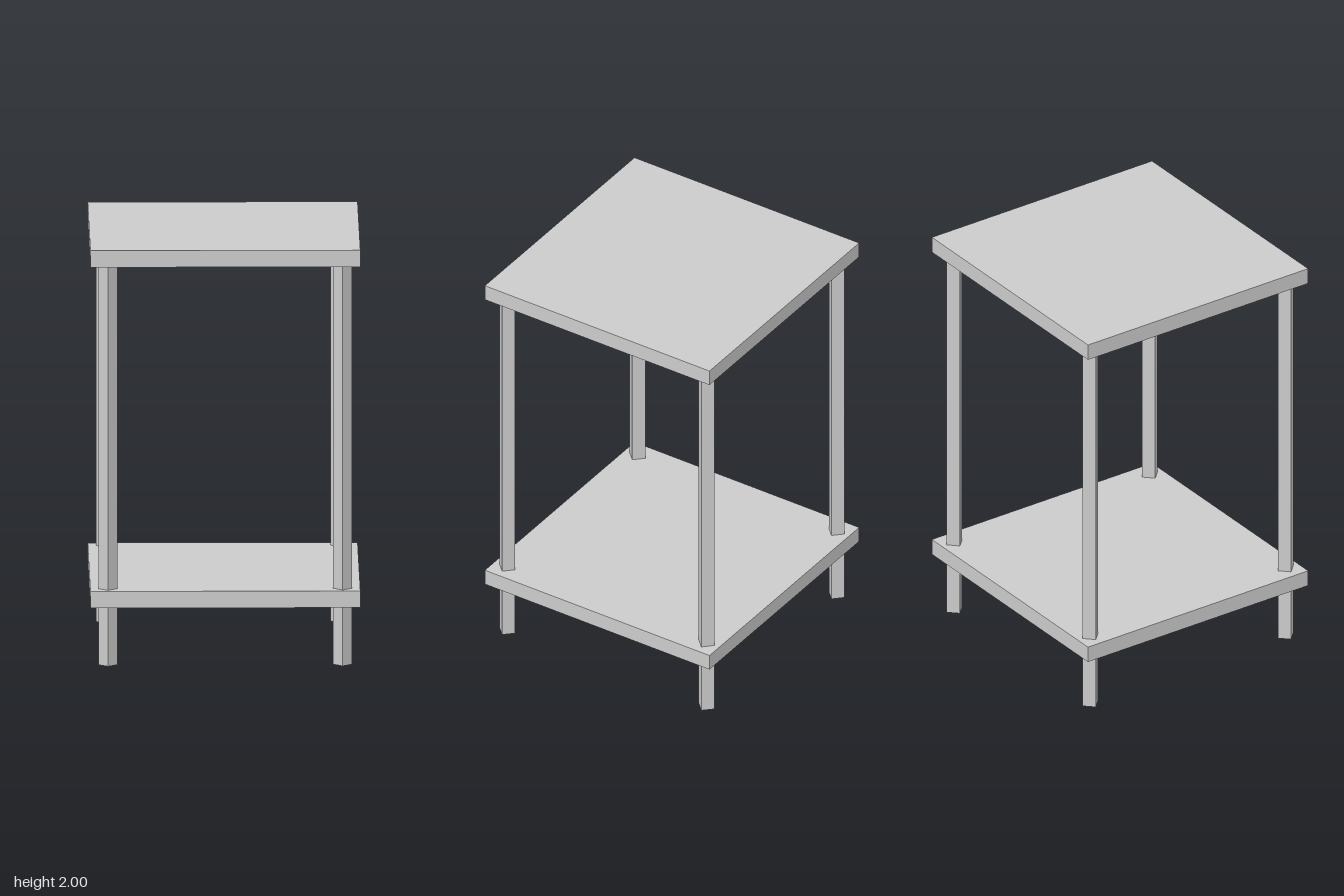
import * as THREE from 'three';

export function createModel() {
  const group = new THREE.Group();
  const material = new THREE.MeshStandardMaterial({ color: 0xcccccc, flatShading: true });

  const add = (name, geometry, x, y, z) => {
    const mesh = new THREE.Mesh(geometry, material);
    mesh.name = name;
    mesh.position.set(x, y, z);
    group.add(mesh);
  };

  // Square table top and lower shelf
  const thickness = 0.08;
  const board = new THREE.BoxGeometry(1.274, thickness, 1.274);
  add('tableTop', board, 0, 2 - thickness / 2, 0);
  add('lowerShelf', board, 0, 0.325, 0);

  // Four-sided legs with their corners facing front and sides
  const legHeight = 2 - thickness;
  const leg = new THREE.CylinderGeometry(0.045, 0.045, legHeight, 4);
  for (const [side, x] of [['Left', 0.554], ['Right', -0.554]]) {
    add('front' + side + 'Leg', leg, x, legHeight / 2, 0.565);
    add('back' + side + 'Leg', leg, x, legHeight / 2, -0.565);
  }

  return group;
}
